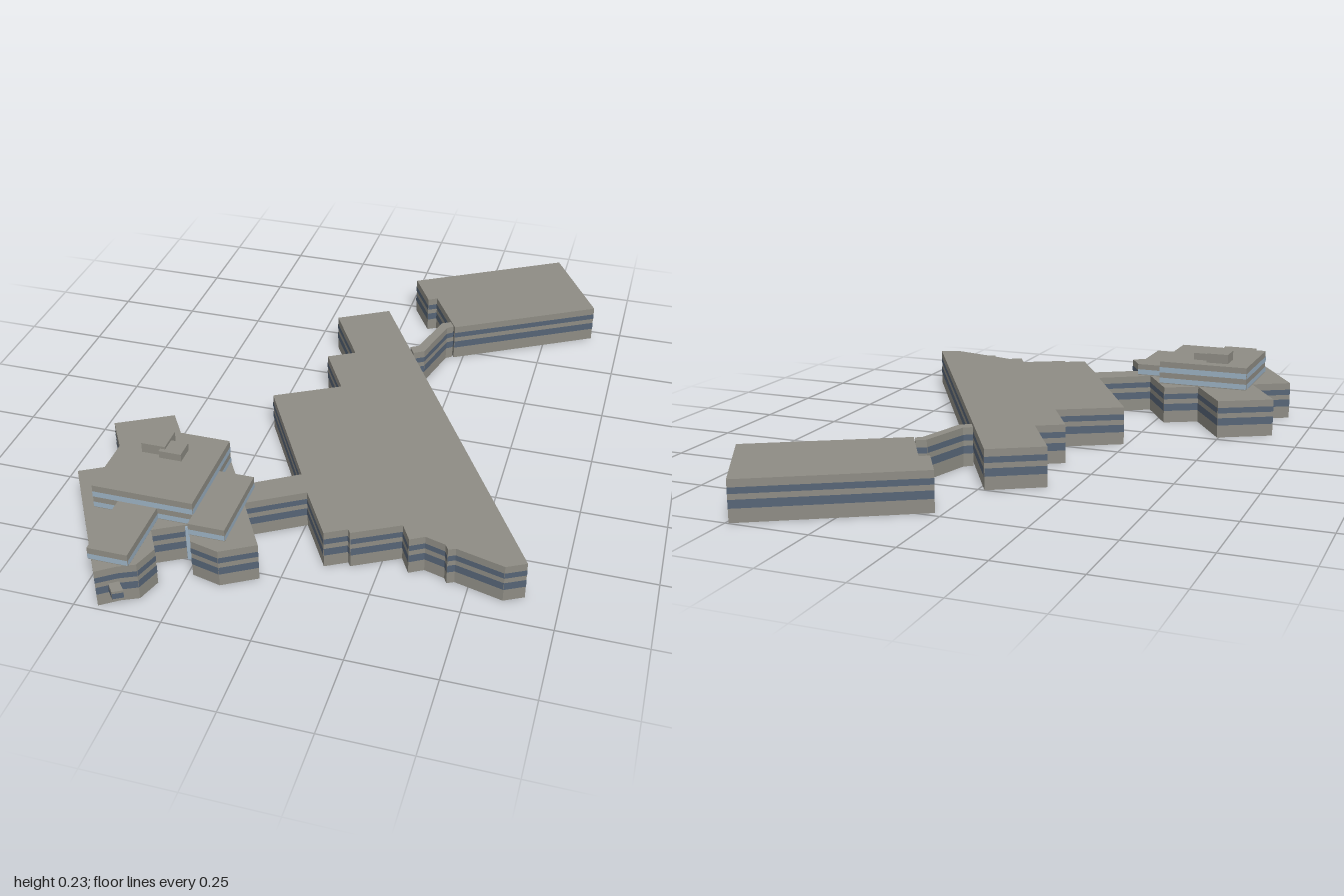
import * as THREE from 'three';

const mat = (name, color, side = THREE.FrontSide) => {
  const m = new THREE.MeshStandardMaterial({ color, side });
  m.name = name;
  return m;
};

// Order a plan outline of [x, z] points so that outward is always the same side
function ordered(pts) {
  let area = 0;
  pts.forEach(([x, z], i) => {
    const [u, v] = pts[(i + 1) % pts.length];
    area += x * v - u * z;
  });
  return area < 0 ? [...pts].reverse() : pts;
}

// Vertical band round an outline, pushed outward by `out`
function band(outline, y0, y1, out = 0) {
  const pts = ordered(outline), pos = [], idx = [];
  pts.forEach(([ax, az], i) => {
    const [bx, bz] = pts[(i + 1) % pts.length];
    const len = Math.hypot(bx - ax, bz - az);
    const nx = (bz - az) / len * out, nz = -(bx - ax) / len * out;
    const k = pos.length / 3;
    pos.push(ax + nx, y0, az + nz, ax + nx, y1, az + nz, bx + nx, y1, bz + nz, bx + nx, y0, bz + nz);
    idx.push(k, k + 1, k + 2, k, k + 2, k + 3);
  });
  const g = new THREE.BufferGeometry();
  g.setAttribute('position', new THREE.Float32BufferAttribute(pos, 3));
  g.setIndex(idx);
  g.computeVertexNormals();
  return g;
}

function roofPlate(outline, y) {
  const shape = new THREE.Shape(outline.map(([x, z]) => new THREE.Vector2(x, -z)));
  return new THREE.ShapeGeometry(shape).rotateX(-Math.PI / 2).translate(0, y, 0);
}

const rect = (x0, x1, z0, z1) => [[x0, z0], [x1, z0], [x1, z1], [x0, z1]];

export function createModel() {
  const model = new THREE.Group();
  const concrete = mat('concrete', 0x8e8c84, THREE.DoubleSide);
  const darkGlass = mat('dark glass', 0x566476);
  const paleGlass = mat('pale glass', 0x9bb0c2);

  // Open-bottomed shell: walls, roof and window bands
  function block(name, outline, y0, y1, windows, glass) {
    const group = new THREE.Group();
    group.name = name;
    const add = (part, geometry, material) => {
      const mesh = new THREE.Mesh(geometry, material);
      mesh.name = part;
      group.add(mesh);
    };
    add('walls', band(outline, y0, y1), concrete);
    add('roof', roofPlate(outline, y1), concrete);
    windows.forEach(([a, b]) => add('windowBand', band(outline, a, b, 0.0015), glass));
    model.add(group);
    return group;
  }

  const H = 0.12;
  const floors = [[0.04, 0.064], [0.08, 0.098]];

  // Ground-level buildings
  block('mainHall', [
    [-0.02, -0.5], [-0.175, -0.41], [-0.06, -0.215], [-0.14, -0.17], [-0.05, -0.015],
    [-0.24, 0.09], [-0.035, 0.445], [0.005, 0.52], [0.1, 0.675], [0.16, 0.642], [0.17, 0.655],
    [0.3, 0.585], [0.33, 0.638], [0.37, 0.615], [0.43, 0.632], [0.44, 0.65], [0.46, 0.64],
    [0.6, 0.676], [0.655, 0.647]], 0, H, floors, darkGlass);

  block('backBuilding', [
    [0.024, -0.728], [0.49, -0.998], [0.655, -0.706], [0.22, -0.457], [0.12, -0.627],
    [0.093, -0.61]], 0, H, floors, darkGlass);

  block('backPassage', [
    [0.105, -0.297], [0.13, -0.312], [0.172, -0.47], [0.2, -0.487], [0.214, -0.46],
    [0.195, -0.445], [0.155, -0.285], [0.123, -0.265]], 0, H, floors, darkGlass);

  block('sidePassage', [
    [-0.19, 0.54], [-0.035, 0.445], [0.005, 0.52], [-0.15, 0.612]], 0, H, floors, darkGlass);

  block('sideBuilding', [
    [-0.655, 0.36], [-0.495, 0.272], [-0.385, 0.443], [-0.283, 0.39], [-0.19, 0.54],
    [-0.15, 0.612], [-0.055, 0.77], [-0.15, 0.825], [-0.235, 0.805], [-0.265, 0.74],
    [-0.355, 0.79], [-0.315, 0.86], [-0.338, 0.93], [-0.385, 0.952], [-0.435, 0.987],
    [-0.66, 0.605], [-0.545, 0.54]], 0, H, floors, darkGlass);

  // Tall glass strip in the recess between the front wings
  const strip = new THREE.Mesh(new THREE.BoxGeometry(0.022, H - 0.004, 0.006), paleGlass);
  strip.name = 'stairGlass';
  strip.position.set(-0.262, H / 2, 0.746);
  strip.rotation.y = 0.5;
  model.add(strip);

  // Small bay on the front wing
  const bay = block('bay', [[-0.41, 0.963], [-0.385, 0.948], [-0.358, 0.98], [-0.385, 0.995]],
    0.038, 0.068, [[0.044, 0.062]], darkGlass);
  const bayFloor = new THREE.Mesh(
    roofPlate([[-0.41, 0.963], [-0.385, 0.948], [-0.358, 0.98], [-0.385, 0.995]], 0.038), concrete);
  bayFloor.name = 'bayFloor';
  bay.add(bayFloor);

  // Upper storeys
  block('upperStorey', rect(-0.545, -0.25, 0.445, 0.74), H, 0.195,
    [[0.123, 0.14], [0.158, 0.176]], paleGlass);
  block('upperSideWing', rect(-0.25, -0.145, 0.54, 0.78), H, 0.158, [[0.123, 0.14]], paleGlass);
  block('upperFrontWing', rect(-0.47, -0.355, 0.74, 0.943), H, 0.158, [[0.123, 0.14]], paleGlass);

  // Rooftop plant rooms
  block('largePlantRoom', rect(-0.472, -0.4, 0.485, 0.56), 0.195, 0.226, [], paleGlass);
  block('smallPlantRoom', rect(-0.415, -0.348, 0.515, 0.572), 0.195, 0.218, [], paleGlass);

  return model;
}
